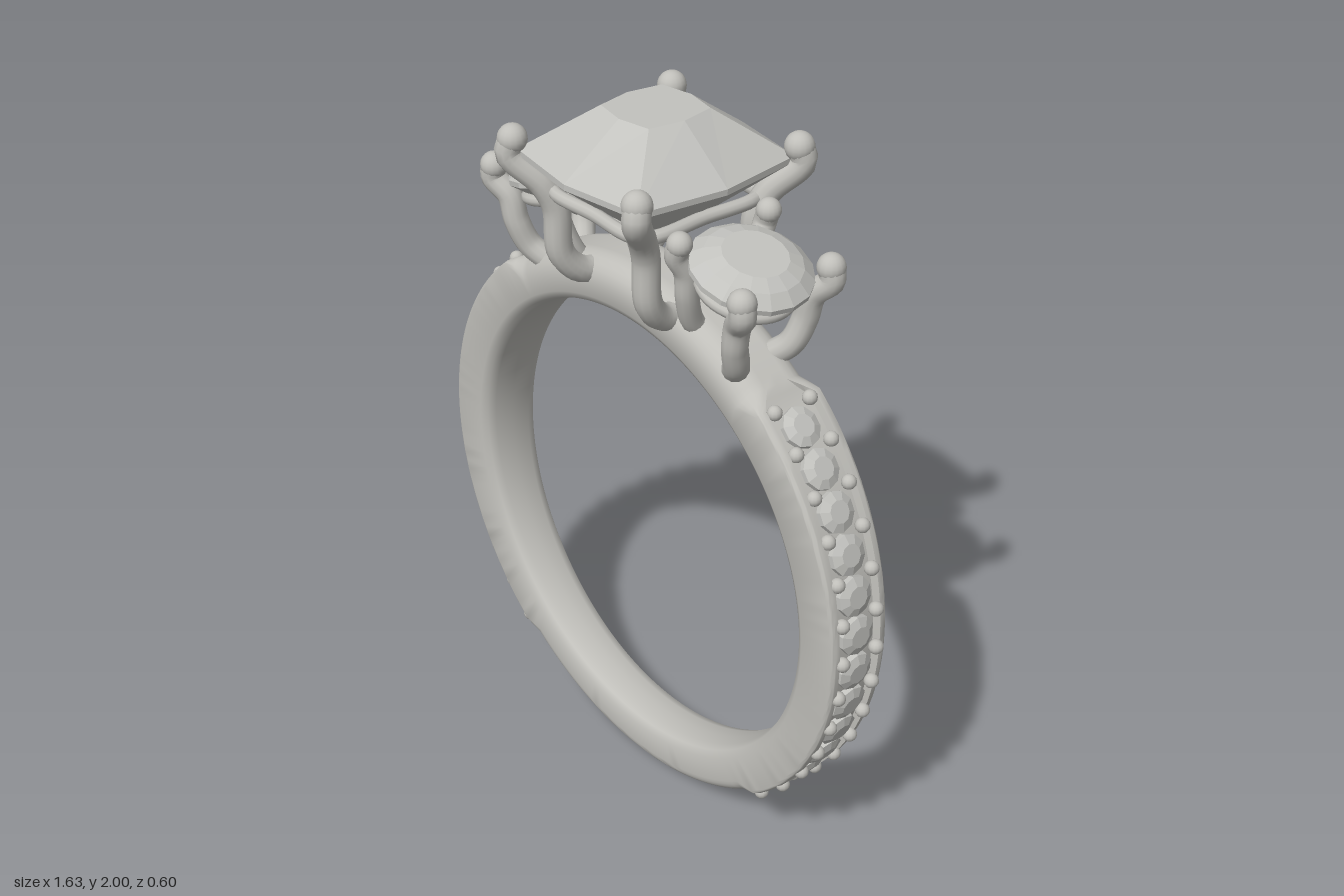
import * as THREE from 'three';
import { toCreasedNormals } from 'three/addons/utils/BufferGeometryUtils.js';

const CY = 0.79; // height of the band centre
const rad = THREE.MathUtils.degToRad;
const V = (x, y, z) => new THREE.Vector3(x, y, z);

// Skin a list of rings (equal point counts, each a closed loop) with triangles
function loft(rings, closed = false) {
  const pos = [];
  const tri = (a, b, c) => {
    const area = b.clone().sub(a).cross(c.clone().sub(a)).length();
    if (area > 1e-9) pos.push(...a, ...b, ...c);
  };
  const n = rings[0].length, m = rings.length;
  for (let i = 0; i < (closed ? m : m - 1); i++) {
    const lo = rings[i], hi = rings[(i + 1) % m];
    for (let j = 0; j < n; j++) {
      const k = (j + 1) % n;
      tri(lo[j], lo[k], hi[k]);
      tri(lo[j], hi[k], hi[j]);
    }
  }
  const geo = new THREE.BufferGeometry();
  geo.setAttribute('position', new THREE.Float32BufferAttribute(pos, 3));
  geo.computeVertexNormals();
  return geo;
}

// Round faceted stone, profile of [radius, y] from tip to table
function roundGem(profile, sides) {
  return loft(profile.map(([r, y]) => Array.from({ length: sides }, (_, j) => {
    const a = j / sides * Math.PI * 2;
    return V(r * Math.cos(a), y, -r * Math.sin(a));
  })));
}

// Cushion outline: corners at (cx, cz), slightly bowed sides reaching mx and mz
function cushion(y, mx, mz, cx, cz) {
  return [[mx, 0], [cx, -cz], [0, -mz], [-cx, -cz], [-mx, 0], [-cx, cz], [0, mz], [cx, cz]]
    .map(([x, z]) => V(x, y, z));
}

// Band cross-section swept round the finger, with a channel along each side
function bandGeometry() {
  const steps = 180, rings = [];
  for (let i = 0; i < steps; i++) {
    const t = i / steps * Math.PI * 2;
    const elev = Math.abs(Math.asin(Math.sin(t))) * 180 / Math.PI;
    const p = 1 - THREE.MathUtils.smoothstep(elev, 50, 54);
    const h = Math.sin(t);
    const w = 0.092 + 0.016 * h;
    const rin = 0.652 - 0.004 * h;
    const ro = 0.788 + 0.01 * p;
    const e = THREE.MathUtils.lerp(h > 0 ? 0.065 : 0.035, 0.012, p);
    const c = (w - e) * 0.86;
    const half = [[0, rin], [w - 0.035, rin + 0.002], [w - 0.012, rin + 0.01], [w, rin + 0.03]];
    for (let k = 0; k <= 6; k++) {
      const a = k / 6 * Math.PI / 2;
      half.push([w - e + e * Math.cos(a), ro - e + e * Math.sin(a)]);
    }
    half.push([c, ro], [c - 0.004, ro - 0.022 * p], [0, ro - 0.022 * p]);
    const loop = [...half, ...half.slice(1, -1).reverse().map(([z, r]) => [-z, r])];
    rings.push(loop.map(([z, r]) => V(r * Math.cos(t), CY + r * Math.sin(t), z)));
  }
  return toCreasedNormals(loft(rings, true), 0.7);
}

export function createModel() {
  const group = new THREE.Group();
  const metal = new THREE.MeshStandardMaterial({ color: 0xc0bfba });
  metal.name = 'silver metal';
  const stone = new THREE.MeshStandardMaterial({ color: 0xc2c2be });
  stone.name = 'pale stone';

  const add = (name, geo, mat, parent = group) => {
    const mesh = new THREE.Mesh(geo, mat);
    mesh.name = name;
    parent.add(mesh);
    return mesh;
  };

  // Bent wire claw with a rounded tip
  const prong = (name, points, sx, sz, r) => {
    const pts = points.map(([x, y, z]) => V(x * sx, y, z * sz));
    const claw = new THREE.Group();
    claw.name = name;
    group.add(claw);
    add('prongWire', new THREE.TubeGeometry(new THREE.CatmullRomCurve3(pts), 32, r, 12), metal, claw);
    add('prongTip', new THREE.SphereGeometry(r * 1.08, 16, 12), metal, claw).position.copy(pts[0]);
    add('prongFoot', new THREE.SphereGeometry(r, 16, 12), metal, claw).position.copy(pts.at(-1));
  };

  add('band', bandGeometry(), metal);

  // Large cushion-cut stone
  add('centreStone', loft([
    cushion(1.635, 0, 0, 0, 0),
    cushion(1.862, 0.27, 0.285, 0.235, 0.25),
    cushion(1.878, 0.27, 0.285, 0.235, 0.25),
    cushion(2, 0.11, 0.115, 0.092, 0.097),
    cushion(2, 0, 0, 0, 0),
  ]), stone);

  // Wire rail under the centre stone
  const rail = new THREE.CatmullRomCurve3(cushion(1.77, 0.185, 0.195, 0.175, 0.185), true);
  add('centreRail', new THREE.TubeGeometry(rail, 64, 0.018, 10, true), metal);

  const centreProng = [[0.243, 1.905, 0.257], [0.25, 1.865, 0.265], [0.195, 1.785, 0.205],
    [0.178, 1.72, 0.178], [0.175, 1.59, 0.168], [0.165, 1.53, 0.12], [0.16, 1.51, 0.05]];
  const outerProng = [[0.488, 1.71, 0.143], [0.492, 1.675, 0.143], [0.452, 1.63, 0.122],
    [0.435, 1.56, 0.115], [0.415, 1.49, 0.09], [0.375, 1.45, 0.06]];
  const innerProng = [[0.262, 1.775, 0.143], [0.25, 1.74, 0.143], [0.255, 1.69, 0.118],
    [0.25, 1.62, 0.108], [0.235, 1.54, 0.08], [0.23, 1.5, 0.05]];

  const sideGem = roundGem([[0, -0.125], [0.158, -0.006], [0.158, 0.008],
    [0.125, 0.034], [0.085, 0.05], [0, 0.05]], 16);
  const paveGem = roundGem([[0.054, -0.02], [0.054, 0.004], [0.03, 0.015], [0, 0.015]], 10);
  const bead = new THREE.SphereGeometry(0.02, 12, 8);

  for (const sx of [1, -1]) {
    const side = sx > 0 ? 'left' : 'right';
    for (const sz of [1, -1]) {
      prong(side + 'CentreProng', centreProng, sx, sz, 0.036);
      prong(side + 'OuterProng', outerProng, sx, sz, 0.034);
      prong(side + 'InnerProng', innerProng, sx, sz, 0.03);
    }

    // Round side stone leaning outward, with its rail
    const setting = new THREE.Group();
    setting.name = side + 'SideSetting';
    setting.position.set(0.36 * sx, 1.7, 0);
    setting.rotation.z = -rad(17) * sx;
    group.add(setting);
    add('sideStone', sideGem, stone, setting);
    const ring = add('sideRail', new THREE.TorusGeometry(0.118, 0.016, 10, 40), metal, setting);
    ring.rotation.x = Math.PI / 2;
    ring.position.y = -0.05;

    // Row of small stones held by paired beads
    const row = new THREE.Group();
    row.name = side + 'StoneRow';
    group.add(row);
    for (let i = 0; i <= 24; i++) {
      const a = rad(-49.2 + i * 4.1);
      const place = (mesh, r, z) => mesh.position.set(r * Math.cos(a) * sx, CY + r * Math.sin(a), z);
      if (i % 2) {
        const gem = add('smallStone', paveGem, stone, row);
        place(gem, 0.786, 0);
        gem.rotation.z = (a - Math.PI / 2) * sx;
      } else {
        for (const z of [0.058, -0.058]) place(add('bead', bead, metal, row), 0.797, z);
      }
    }
  }
  return group;
}
